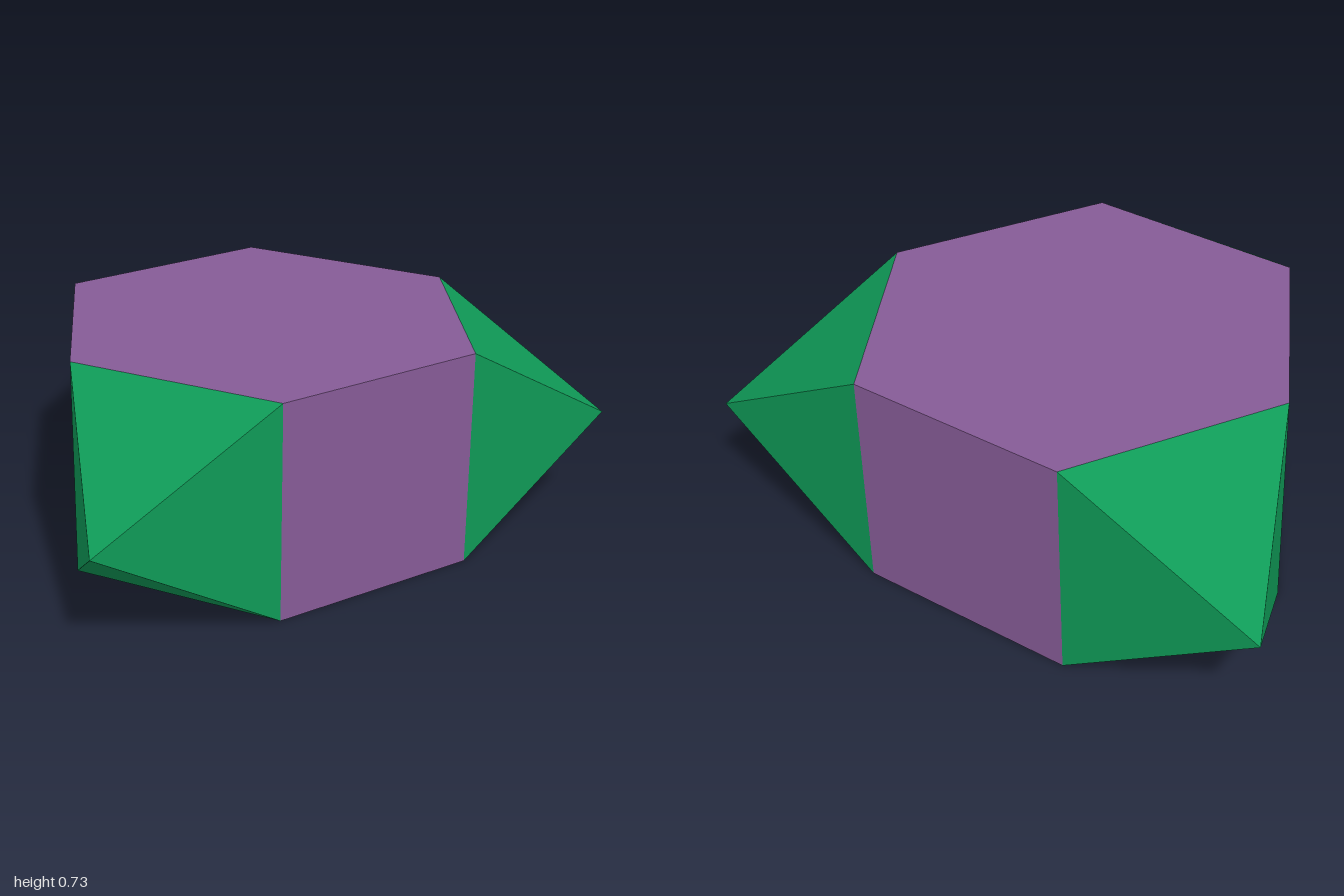
import * as THREE from 'three';

export function createModel() {
  const model = new THREE.Group();
  model.name = 'augmentedHexagonalPrism';

  const purple = new THREE.MeshStandardMaterial({ color: 0x865b97, flatShading: true });
  purple.name = 'purple';
  const green = new THREE.MeshStandardMaterial({ color: 0x0f9a57, flatShading: true });
  green.name = 'green';

  const edge = 0.734;                       // every edge has the same length
  const apothem = edge * Math.sqrt(3) / 2;  // prism axis to side face
  const height = edge / Math.SQRT2;         // height of an equilateral square pyramid

  // Group sits on the prism axis, offset so the whole is centred in z
  const solid = new THREE.Group();
  solid.name = 'solid';
  solid.position.set(0, edge / 2, -edge / (2 * Math.SQRT2));
  model.add(solid);

  // Hexagonal prism with one flat side facing the front
  const prismGeometry = new THREE.CylinderGeometry(edge, edge, edge, 6).rotateY(Math.PI / 6);
  const prism = new THREE.Mesh(prismGeometry, purple);
  prism.name = 'hexagonalPrism';
  solid.add(prism);

  // Square pyramids on every second side face
  const pyramidGeometry = new THREE.ConeGeometry(edge / Math.SQRT2, height, 4, 1, true)
    .rotateY(Math.PI / 4)
    .rotateX(Math.PI / 2)
    .translate(0, 0, apothem + height / 2);
  const names = ['frontPyramid', 'leftPyramid', 'rightPyramid'];
  names.forEach((name, i) => {
    const pyramid = new THREE.Mesh(pyramidGeometry, green);
    pyramid.name = name;
    pyramid.rotation.y = i * Math.PI * 2 / 3;
    solid.add(pyramid);
  });

  // Purple side faces under the pyramids stay hidden inside the solid
  return model;
}
